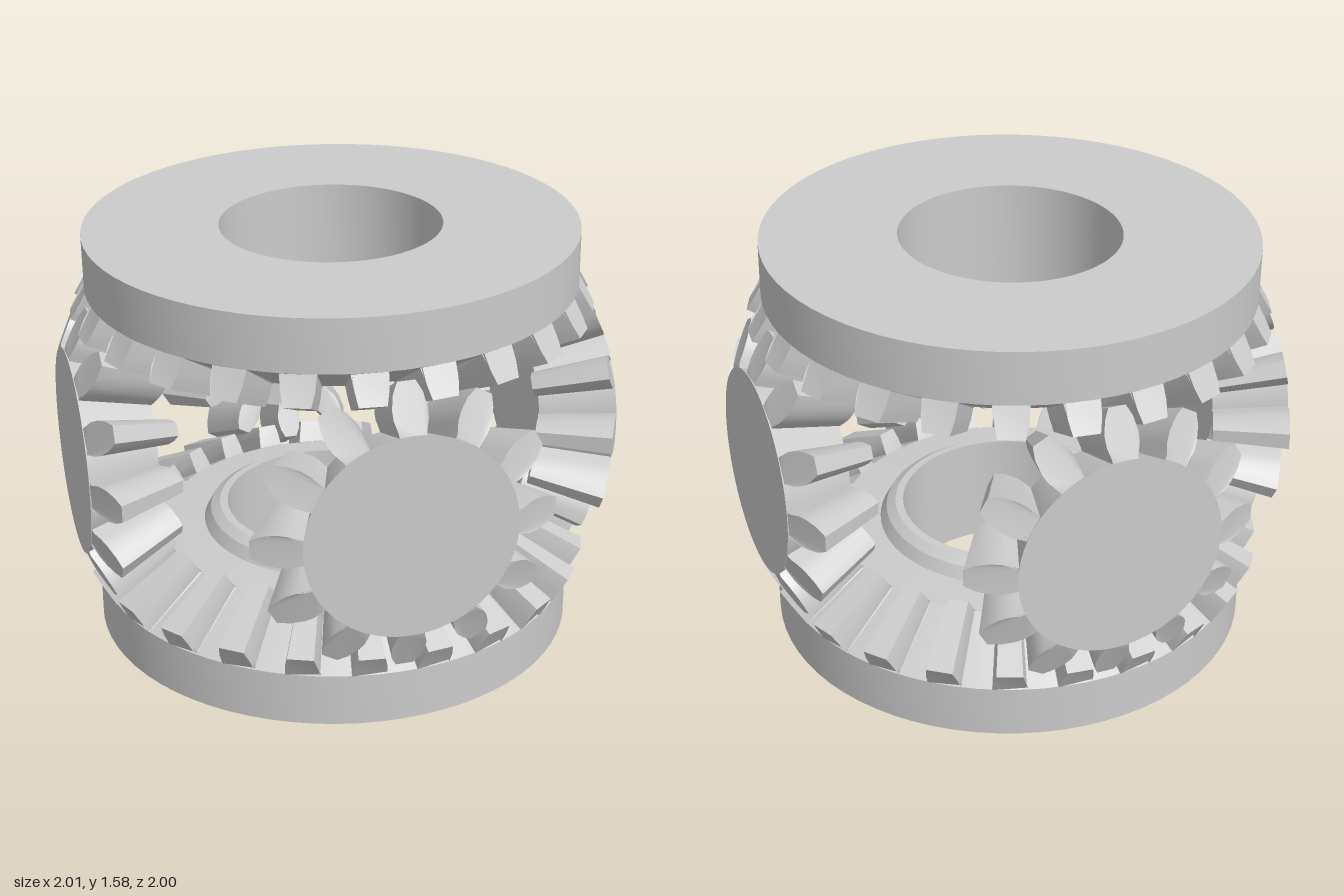
import * as THREE from 'three';
import { mergeGeometries, toCreasedNormals } from 'three/addons/utils/BufferGeometryUtils.js';

const MATERIAL = new THREE.MeshStandardMaterial({ color: 0xcccccc });
const CENTRE = 0.787; // height of the point where all pitch cones meet
const TAPER = 0.73;   // inner end of a tooth relative to its outer end

// One bevel tooth: its outer section shrinks towards the origin (the cone apex).
// half = [half width, height 0..1] from root to tip; root and tip = [radius, axial]
function toothGeometry(half, root, tip) {
  const section = [...half, ...half.map(([w, t]) => [-w, t]).reverse()];
  const outer = section.map(([w, t]) => new THREE.Vector3(
    root[0] + (tip[0] - root[0]) * t,
    Math.min(root[1], root[1] + (tip[1] - root[1]) * t),
    w));
  const inner = outer.map((p) => p.clone().multiplyScalar(TAPER));
  const n = outer.length;
  const tris = [];
  for (let i = 0; i < n; i++) {
    const j = (i + 1) % n;
    tris.push(outer[i], inner[i], inner[j], outer[i], inner[j], outer[j]);
    if (i > 0 && i < n - 1) {
      tris.push(outer[0], outer[i], outer[j], inner[0], inner[j], inner[i]);
    }
  }
  return toCreasedNormals(new THREE.BufferGeometry().setFromPoints(tris), 0.45);
}

// A gear on the +y axis with its cone apex at the origin
function makeGear(name, spec) {
  const gear = new THREE.Group();
  gear.name = name;

  const points = spec.profile.map(([r, a]) => new THREE.Vector2(r, a));
  const body = new THREE.Mesh(
    toCreasedNormals(new THREE.LatheGeometry(points, 72), 0.4), MATERIAL);
  body.name = 'gearBody';

  const tooth = toothGeometry(spec.half, spec.root, spec.tip);
  const ring = [];
  for (let i = 0; i < spec.count; i++) {
    ring.push(tooth.clone().rotateY((i + spec.offset) * 2 * Math.PI / spec.count));
  }
  const teeth = new THREE.Mesh(mergeGeometries(ring), MATERIAL);
  teeth.name = 'gearTeeth';

  gear.add(body, teeth);
  return gear;
}

// Large ring gear with a bore and a raised hub around it
const SIDE_GEAR = {
  profile: [[0.41, 0.35], [0.44, 0.352], [0.475, 0.375], [0.5, 0.42], [0.66, 0.43],
    [0.91, 0.587], [0.91, 0.787], [0.41, 0.787], [0.41, 0.35]],
  half: [[0.066, -0.2], [0.062, 0], [0.059, 0.5], [0.048, 1]],
  root: [0.91, 0.587], tip: [0.965, 0.488], count: 24, offset: 0.5,
};

// Small solid pinion with rounded teeth
const PINION = {
  profile: [[0, 0.73], [0.281, 0.73], [0.385, 1], [0, 1]],
  half: [[0.045, -0.1], [0.05, 0.08], [0.061, 0.3], [0.062, 0.5], [0.052, 0.78], [0.032, 1]],
  root: [0.385, 1], tip: [0.55, 0.915], count: 12, offset: 0,
};

export function createModel() {
  const model = new THREE.Group();
  model.name = 'bevelGearSet';
  const up = new THREE.Vector3(0, 1, 0);

  const lower = makeGear('lowerGear', SIDE_GEAR);
  lower.rotation.x = Math.PI;
  lower.position.y = CENTRE;
  model.add(lower);

  // Upper gear and pinions lean very slightly together
  const upper = new THREE.Group();
  upper.name = 'upperAssembly';
  upper.position.y = CENTRE;
  upper.rotation.z = 0.011;
  upper.add(makeGear('upperGear', SIDE_GEAR));

  const pinions = { leftPinion: [1, 0], rightPinion: [-1, 0], frontPinion: [0, 1], backPinion: [0, -1] };
  for (const [name, [x, z]] of Object.entries(pinions)) {
    const pinion = makeGear(name, PINION);
    pinion.quaternion.setFromUnitVectors(up, new THREE.Vector3(x, 0, z));
    upper.add(pinion);
  }
  model.add(upper);
  return model;
}
